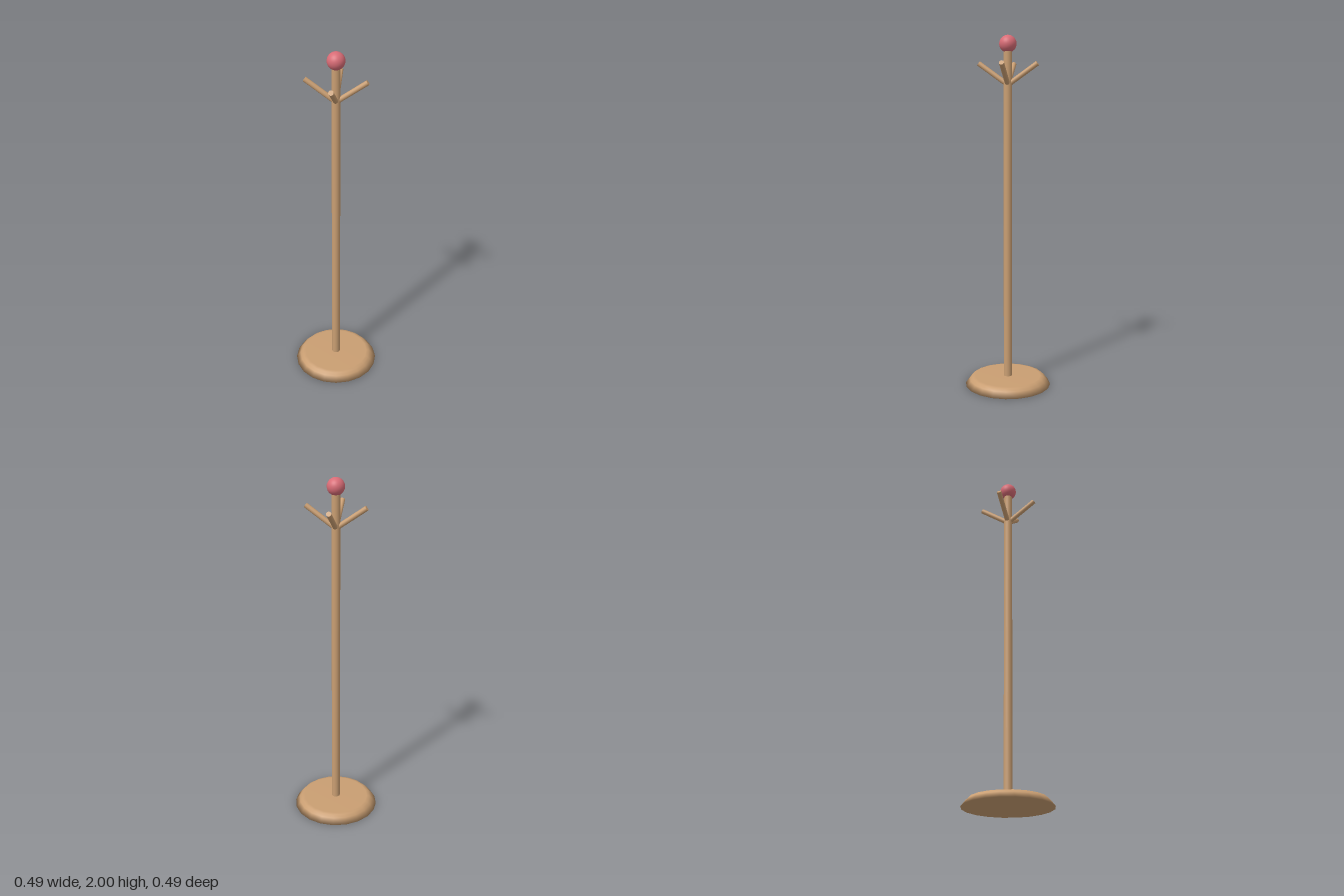
import * as THREE from 'three';

export function createModel() {
  const group = new THREE.Group();
  group.name = 'coatStand';
  const wood = new THREE.MeshStandardMaterial({ color: 0xc99e72 });
  wood.name = 'wood';
  const red = new THREE.MeshStandardMaterial({ color: 0xd86c76 });
  red.name = 'red';

  const add = (name, geometry, material) => {
    const mesh = new THREE.Mesh(geometry, material);
    mesh.name = name;
    group.add(mesh);
    return mesh;
  };

  // Round foot with a sloping, softened rim
  const profile = [[0, 0], [0.247, 0], [0.222, 0.032], [0.208, 0.046], [0.19, 0.05], [0, 0.05]]
    .map(([r, y]) => new THREE.Vector2(r, y));
  add('base', new THREE.LatheGeometry(profile, 20), wood);

  // Upright pole
  add('pole', new THREE.CylinderGeometry(0.024, 0.024, 1.89, 20), wood).position.y = 0.985;

  // Ball on top
  add('topBall', new THREE.SphereGeometry(0.048, 32, 20), red).position.y = 1.952;

  // Four diagonal pegs rising outwards
  const up = new THREE.Vector3(0, 1, 0);
  for (const sx of [-1, 1]) {
    for (const sz of [-1, 1]) {
      const start = new THREE.Vector3(sx * 0.01, 1.739, sz * 0.01);
      const end = new THREE.Vector3(sx * 0.117, 1.846, sz * 0.117);
      const axis = end.clone().sub(start);
      const peg = add('peg', new THREE.CylinderGeometry(0.014, 0.014, axis.length(), 16), wood);
      peg.position.copy(start).lerp(end, 0.5);
      peg.quaternion.setFromUnitVectors(up, axis.normalize());
    }
  }
  return group;
}
